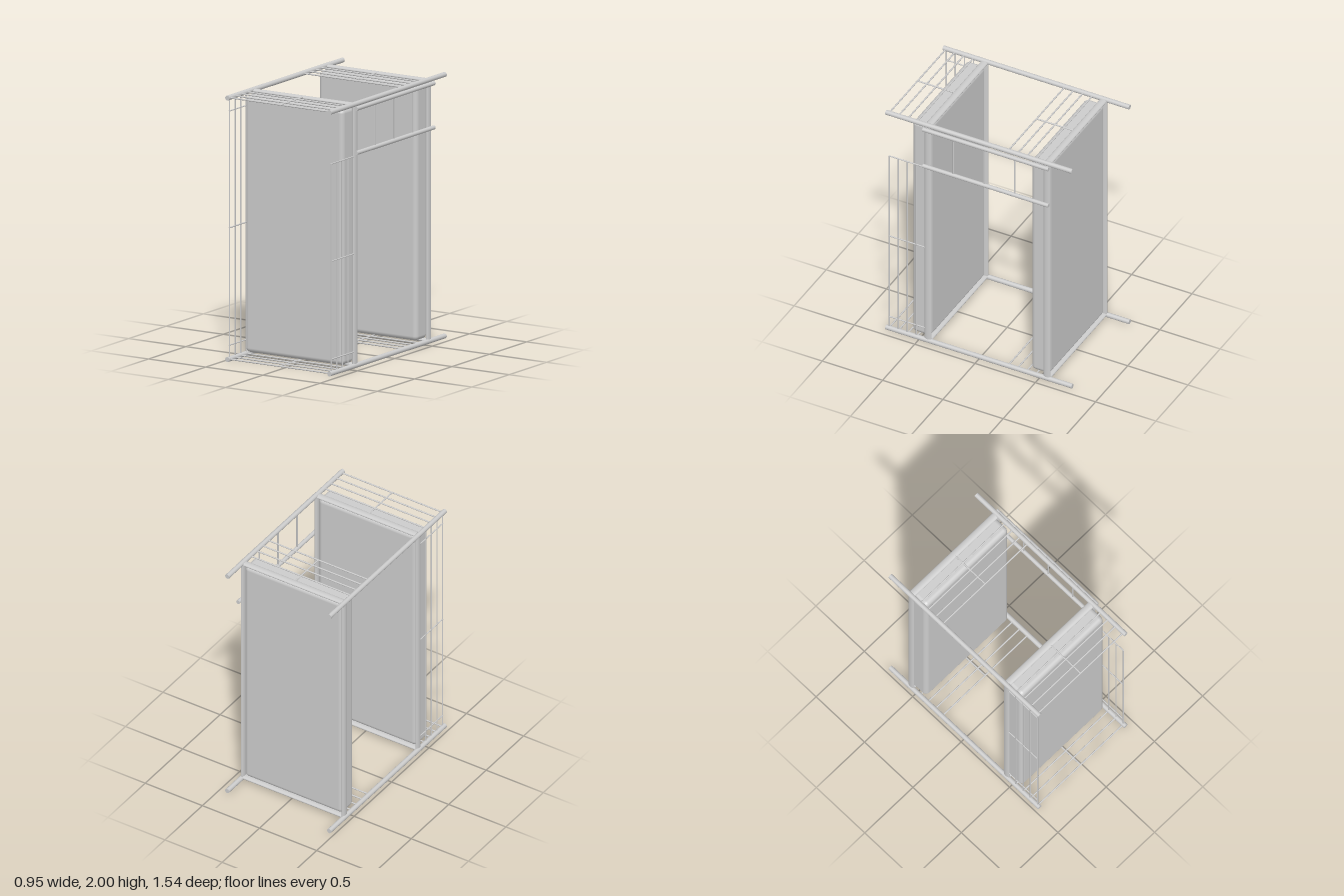
import * as THREE from 'three';
import { RoundedBoxGeometry } from 'three/addons/geometries/RoundedBoxGeometry.js';

const LEFT = 0.432, RIGHT = -0.46, MID = (LEFT + RIGHT) / 2;
const LOW = 0.02, HIGH = 1.98;
const material = new THREE.MeshStandardMaterial({ color: 0xcccccc });

// Round bar between two points
function bar(parent, name, from, to, radius, sides = 10) {
  const a = new THREE.Vector3(...from), b = new THREE.Vector3(...to);
  const dir = b.clone().sub(a);
  const mesh = new THREE.Mesh(new THREE.CylinderGeometry(radius, radius, dir.length(), sides), material);
  mesh.position.copy(a).add(b).multiplyScalar(0.5);
  mesh.quaternion.setFromUnitVectors(new THREE.Vector3(0, 1, 0), dir.normalize());
  mesh.name = name;
  parent.add(mesh);
  return mesh;
}

function group(parent, name) {
  const g = new THREE.Group();
  g.name = name;
  parent.add(g);
  return g;
}

// One bunk: oval frame rails around a soft mattress; z is the rail centre
function bunk(parent, name, z) {
  const g = group(parent, name);
  for (const x of [RIGHT + 0.007, LEFT - 0.003]) {
    const rail = bar(g, 'sideRail', [x, 0.035, z], [x, 1.96, z], 1, 20);
    rail.scale.set(0.014, 1, 0.0285);
  }
  for (const y of [0.026, 1.974]) {
    const rail = bar(g, 'endRail', [RIGHT, y, z], [LEFT, y, z], 1, 20);
    rail.scale.set(0.014, 1, 0.0285);
  }
  const mattress = new THREE.Mesh(new RoundedBoxGeometry(0.858, 1.92, 0.155, 4, 0.035), material);
  mattress.position.set(MID, 1, z + 0.064);
  mattress.name = 'mattress';
  g.add(mattress);
}

// End board: four cross bars joined by a central spindle
function endBoard(parent, y, z) {
  const g = group(parent, 'endBoard');
  for (let i = 0; i < 4; i++) {
    const zi = z + 0.094 + i * 0.0765;
    bar(g, 'crossBar', [RIGHT, y, zi], [LEFT, y, zi], 0.006);
  }
  bar(g, 'spindle', [MID, y, z], [MID, y, z + 0.324], 0.006);
}

// Guard rail: long bars held by short uprights
function guardRail(parent, x, top, uprights) {
  const g = group(parent, 'guardRail');
  for (let i = 0; i < 4; i++) {
    const z = 0.522 + i * 0.075;
    bar(g, 'longBar', [x, LOW, z], [x, top, z], 0.005);
  }
  for (const y of uprights) bar(g, 'upright', [x, y, 0.43], [x, y, 0.75], 0.005);
}

export function createModel() {
  const model = new THREE.Group();
  model.name = 'bunkBed';

  // Corner posts
  for (const x of [LEFT, RIGHT])
    for (const y of [LOW, HIGH]) bar(model, 'post', [x, y, -0.772], [x, y, 0.772], 0.0185, 20);

  // Bunks with their end boards
  for (const [name, z] of [['lowerBunk', -0.56], ['upperBunk', 0.426]]) {
    bunk(model, name, z);
    for (const y of [LOW, HIGH]) endBoard(model, y, z);
  }

  // Guard rails: shorter on the ladder side
  guardRail(model, LEFT, 1.592, [0.125, 0.86, 1.59]);
  guardRail(model, RIGHT + 0.003, HIGH, [0.125, 1.005, 1.88]);

  // Ladder
  const ladder = group(model, 'ladder');
  for (const y of [1.62, 1.952]) bar(ladder, 'ladderRail', [0.458, y, -0.588], [0.458, y, 0.453], 0.016, 16);
  for (const z of [-0.307, -0.054, 0.2]) bar(ladder, 'rung', [0.458, 1.62, z], [0.458, 1.952, z], 0.006);

  return model;
}
